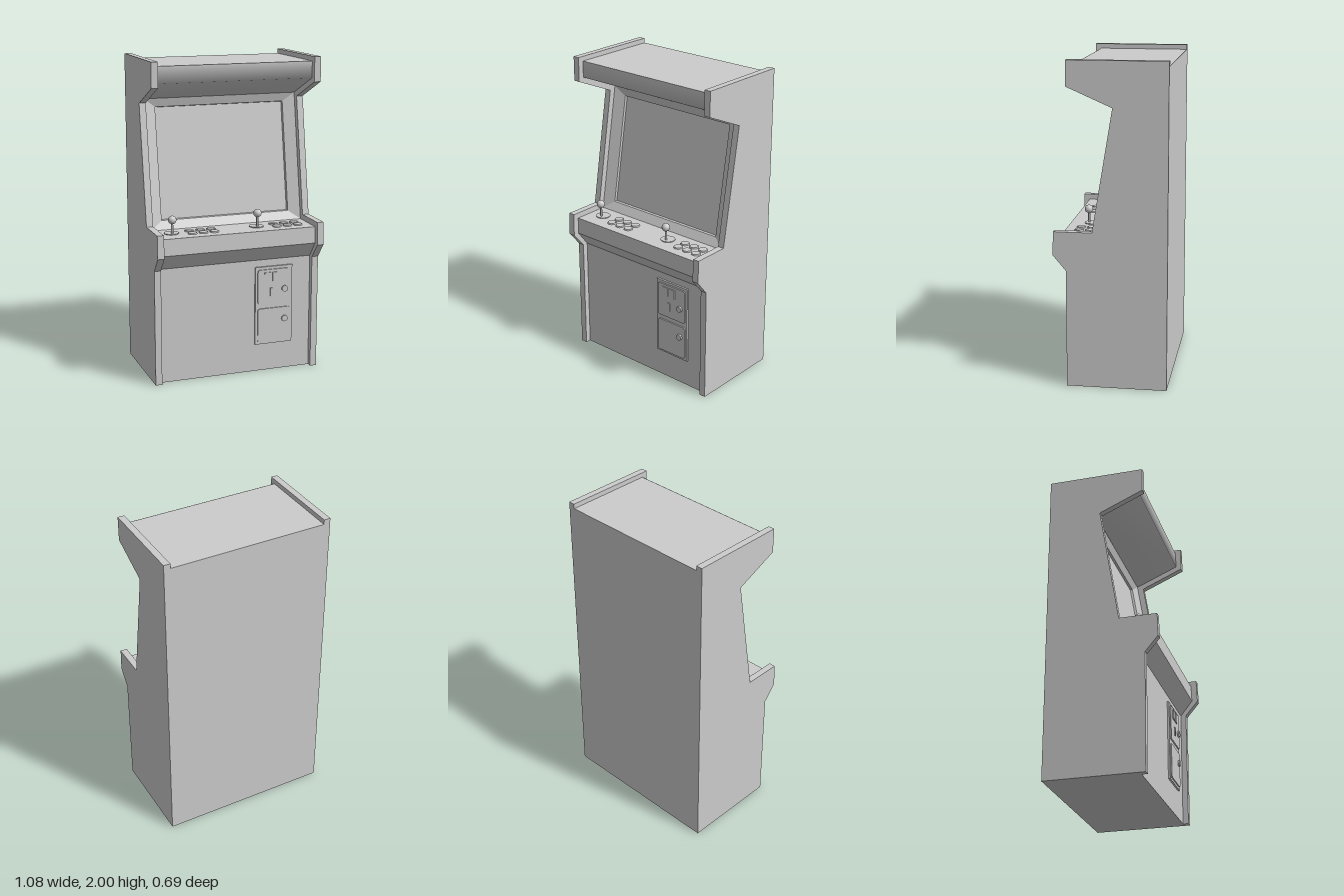
import * as THREE from 'three';

const material = new THREE.MeshStandardMaterial({ color: 0xcccccc });
const smoothThin = new THREE.MeshStandardMaterial({ color: 0xcccccc, side: THREE.DoubleSide });

function add(parent, name, geometry, x = 0, y = 0, z = 0, mat = material) {
  const mesh = new THREE.Mesh(geometry, mat);
  mesh.name = name;
  mesh.position.set(x, y, z);
  parent.add(mesh);
  return mesh;
}

// Extrudes a side profile of [z, y] points along x, centred on x = 0
function extrudeProfile(points, width) {
  const shape = new THREE.Shape(points.map(([z, y]) => new THREE.Vector2(z, y)));
  const geometry = new THREE.ExtrudeGeometry(shape, { depth: width, bevelEnabled: false });
  return geometry.translate(0, 0, -width / 2).rotateY(-Math.PI / 2);
}

// Flat plate with rounded corners, back face on z = 0
function roundedPlate(w, h, r, depth) {
  const x = w / 2, y = h / 2;
  const s = new THREE.Shape();
  s.moveTo(-x + r, -y);
  s.lineTo(x - r, -y).quadraticCurveTo(x, -y, x, -y + r);
  s.lineTo(x, y - r).quadraticCurveTo(x, y, x - r, y);
  s.lineTo(-x + r, y).quadraticCurveTo(-x, y, -x, y - r);
  s.lineTo(-x, -y + r).quadraticCurveTo(-x, -y, -x + r, -y);
  return new THREE.ExtrudeGeometry(s, { depth, bevelEnabled: false, curveSegments: 4 });
}

// Stepped rectangular funnel leading back to the screen
function bezelGeometry() {
  const rings = [ // half width, bottom, top, depth behind the opening
    [0.5, 0.94, 1.745, 0],
    [0.425, 0.993, 1.69, 0.025],
    [0.421, 0.996, 1.686, 0.04],
  ].map(([x, y0, y1, d]) => [[-x, y0], [x, y0], [x, y1], [-x, y1]]
    .map(([px, py]) => [px, py, 0.076 - (py - 0.94) / 6 - d]));
  const positions = [];
  const quad = (a, b, c, d) => positions.push(...a, ...b, ...c, ...a, ...c, ...d);
  for (let i = 0; i < rings.length - 1; i++) {
    for (let k = 0; k < 4; k++) {
      const n = (k + 1) % 4;
      quad(rings[i][k], rings[i][n], rings[i + 1][n], rings[i + 1][k]);
    }
  }
  quad(...rings[rings.length - 1]);
  const geometry = new THREE.BufferGeometry();
  geometry.setAttribute('position', new THREE.Float32BufferAttribute(positions, 3));
  geometry.computeVertexNormals();
  return geometry;
}

// Marquee front and underside, shaded smoothly over the bend
function marqueeGeometry() {
  const geometry = new THREE.PlaneGeometry(1, 1, 1, 2);
  const profile = [[0.222, 1.97], [0.222, 1.866], [-0.058, 1.745]];
  const p = geometry.attributes.position;
  for (let i = 0; i < p.count; i++) {
    const [z, y] = profile[Math.floor(i / 2)];
    p.setXYZ(i, p.getX(i), y, z);
  }
  geometry.computeVertexNormals();
  return geometry;
}

function playerControls(x) {
  const controls = new THREE.Group();
  controls.name = 'playerControls';
  controls.position.set(x, 0.94, 0);
  add(controls, 'joystickBase', new THREE.CylinderGeometry(0.046, 0.046, 0.006, 20), 0, 0.002, 0.176);
  add(controls, 'joystickShaft', new THREE.CylinderGeometry(0.007, 0.007, 0.08, 10), 0, 0.04, 0.194);
  add(controls, 'joystickBall', new THREE.SphereGeometry(0.026, 20, 14), 0, 0.09, 0.196);
  // Two rows of three buttons
  for (const z of [0.222, 0.155]) {
    for (let i = 0; i < 3; i++) {
      add(controls, 'button', new THREE.CylinderGeometry(0.027, 0.03, 0.01, 10), 0.122 + i * 0.071, 0.003, z);
    }
  }
  return controls;
}

function coinDoor() {
  const door = new THREE.Group();
  door.name = 'coinDoor';
  door.position.z = 0.235;
  add(door, 'coinDoorFrame', new THREE.BoxGeometry(0.25, 0.51, 0.012), 0.25, 0.435, 0.006);
  for (const [y, h, knobY] of [[0.56, 0.225, 0.54], [0.306, 0.222, 0.342]]) {
    add(door, 'coinDoorPanel', roundedPlate(0.22, h, 0.018, 0.008), 0.25, y, 0.012);
    add(door, 'lock', new THREE.CylinderGeometry(0.02, 0.02, 0.012, 16).rotateX(Math.PI / 2), 0.32, knobY, 0.025);
  }
  for (const x of [0.203, 0.259]) {
    add(door, 'coinReject', new THREE.BoxGeometry(0.042, 0.06, 0.008), x, 0.625, 0.022);
  }
  add(door, 'coinReturn', new THREE.BoxGeometry(0.02, 0.055, 0.008), 0.232, 0.525, 0.022);
  return door;
}

export function createModel() {
  const cabinet = new THREE.Group();
  cabinet.name = 'arcadeCabinet';

  // Side panels
  const side = [[0.27, 0], [0.27, 0.735], [0.35, 0.83], [0.345, 0.975], [0.11, 0.975],
    [-0.015, 1.725], [0.26, 1.845], [0.26, 2], [-0.345, 2], [-0.345, 0]];
  for (const s of [1, -1]) {
    add(cabinet, s > 0 ? 'leftSidePanel' : 'rightSidePanel', extrudeProfile(side, 0.042), s * 0.521);
  }

  // Body between the panels, hollowed behind the screen and marquee
  const body = [[0.235, 0], [0.235, 0.735], [0.313, 0.835], [0.309, 0.94], [0, 0.94],
    [-0.14, 1.715], [-0.06, 1.75], [0.22, 1.871], [0.222, 1.97], [-0.345, 1.97], [-0.345, 0]];
  add(cabinet, 'body', extrudeProfile(body, 1));
  add(cabinet, 'marquee', marqueeGeometry(), 0, 0, 0.001, smoothThin);
  add(cabinet, 'screenAndBezel', bezelGeometry(), 0, 0, 0, smoothThin);

  // Control panel for two players
  for (const x of [-0.403, 0.155]) cabinet.add(playerControls(x));

  cabinet.add(coinDoor());
  return cabinet;
}
